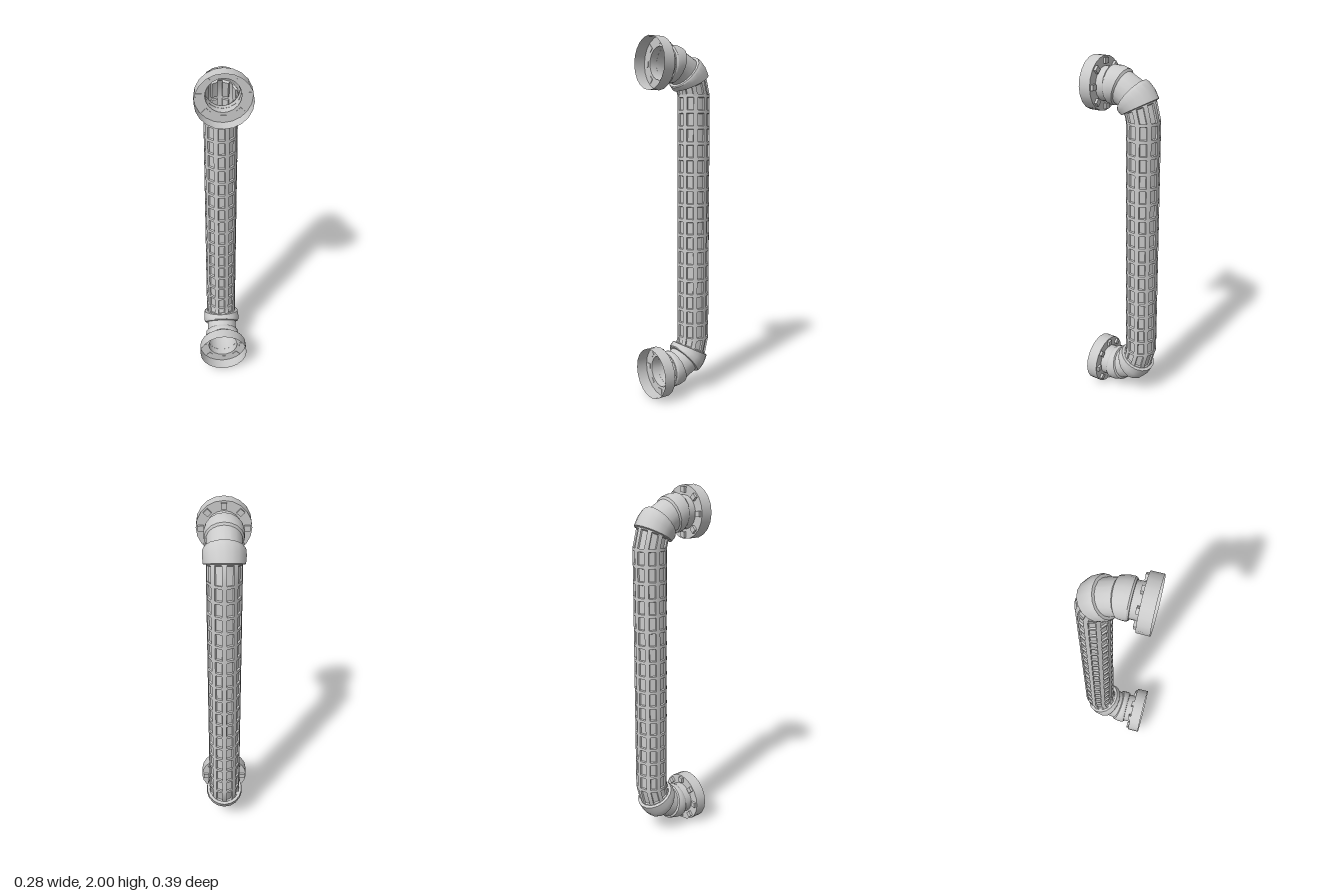
import * as THREE from 'three';
import { toCreasedNormals } from 'three/addons/utils/BufferGeometryUtils.js';

const mat = new THREE.MeshStandardMaterial({ color: 0xcccccc, side: THREE.DoubleSide });
const FLANGE_Y = 1.858;               // height of the upper flange axis
const BEND = 0.18;                    // centreline radius of the elbow
const BEND_Z = 0.075;                 // centre of the elbow arc
const BEND_Y = FLANGE_Y - BEND;
const PIPE_Z = BEND_Z - BEND;         // axis of the upright pipe
const rad = THREE.MathUtils.degToRad;

function addMesh(parent, geo, name) {
  const m = new THREE.Mesh(geo, mat);
  m.name = name;
  parent.add(m);
  return m;
}

// Stations along the centreline: angle t (degrees) gives the outward direction
const atBend = (t) => ({ y: BEND_Y + BEND * Math.cos(rad(t)), z: BEND_Z - BEND * Math.sin(rad(t)), t });
const atInlet = (z) => ({ y: FLANGE_Y, z, t: 0 });
const atUpright = (y) => ({ y, z: PIPE_Z, t: 90 });
const mirrored = (s) => ({ ...s, y: 2 - s.y, t: 180 - s.t });

// Skin a series of loops; angles lists the points round a loop, radius(i, k) their distance
function sweep(stations, angles, radius) {
  const pos = [], idx = [], n = angles.length;
  stations.forEach((s, i) => angles.forEach((a, k) => {
    const r = radius(i, k), c = r * Math.cos(a);
    pos.push(r * Math.sin(a), s.y + c * Math.cos(rad(s.t)), s.z - c * Math.sin(rad(s.t)));
  }));
  for (let i = 0; i < stations.length - 1; i++) {
    for (let k = 0; k < n; k++) {
      const a = i * n + k, b = i * n + (k + 1) % n;
      idx.push(a, b, a + n, b, b + n, a + n);
    }
  }
  const g = new THREE.BufferGeometry();
  g.setAttribute('position', new THREE.Float32BufferAttribute(pos, 3));
  g.setIndex(idx);
  return toCreasedNormals(g, 0.5);
}

const round = Array.from({ length: 18 }, (_, k) => (k / 18) * Math.PI * 2);
const roundTube = (list) => sweep(list.map((e) => e[0]), round, (i) => list[i][1]);

function makeEnd() {
  const end = new THREE.Group();

  // Flange: open cup with a ring floor and eight bolts
  const flange = new THREE.Group();
  flange.name = 'flange';
  flange.position.y = FLANGE_Y;
  end.add(flange);
  const wall = addMesh(flange, new THREE.CylinderGeometry(0.142, 0.142, 0.066, 20, 1, true), 'flangeRim');
  wall.rotation.x = Math.PI / 2;
  wall.position.z = 0.161;
  addMesh(flange, new THREE.RingGeometry(0.088, 0.142, 20), 'flangeFace').position.z = 0.128;
  for (let i = 0; i < 8; i++) {
    const a = (i * Math.PI) / 4;
    const bolt = addMesh(flange, new THREE.BoxGeometry(0.03, 0.029, 0.017), 'flangeBolt');
    bolt.position.set(0.117 * Math.cos(a), 0.117 * Math.sin(a), 0.1225);
    bolt.rotation.z = a;
  }

  // Curved elbow tube
  addMesh(end, roundTube([
    [atInlet(0.128), 0.09], [atBend(0), 0.09], [atBend(18), 0.09], [atBend(39), 0.09], [atBend(60), 0.088],
  ]), 'elbow');

  // Collars sleeved over the elbow
  addMesh(end, roundTube([
    [atInlet(0.084), 0.089], [atInlet(0.083), 0.097], [atInlet(0.074), 0.103],
    [atBend(8), 0.104], [atBend(17), 0.1], [atBend(19), 0.089],
  ]), 'innerCollar');
  addMesh(end, roundTube([
    [atBend(38), 0.089], [atBend(38.5), 0.104], [atBend(42), 0.109],
    [atBend(51), 0.11], [atBend(62), 0.106], [atBend(63), 0.085],
  ]), 'outerCollar');
  return end;
}

// Upright pipe: nine long ribs and evenly spaced rings around sunken panels
function makePipe() {
  const angles = [];
  for (let k = 0; k < 9; k++) {
    for (const d of [-9, -7.5, 7.5, 9]) angles.push(rad(k * 40 + d));
  }
  const stations = [], raised = [];
  const put = (s, up) => { stations.push(s); raised.push(up); };

  const bend = [[60, true], [64, true], [65, false], [86, false]];
  bend.forEach(([t, up]) => put(atBend(t), up));
  const rows = 16, top = BEND_Y + 0.012, step = (2 * top - 2) / rows;
  for (let i = 0; i <= rows; i++) {
    const y = top - i * step;
    if (i > 0) put(atUpright(y + 0.011), false);
    put(atUpright(y + 0.008), true);
    put(atUpright(y - 0.008), true);
    if (i < rows) put(atUpright(y - 0.011), false);
  }
  bend.slice().reverse().forEach(([t, up]) => put(mirrored(atBend(t)), up));

  return sweep(stations, angles, (i, k) => {
    const onRib = k % 4 === 1 || k % 4 === 2;
    return raised[i] || onRib ? 0.09 : 0.081;
  });
}

export function createModel() {
  const model = new THREE.Group();
  model.name = 'pipe';
  addMesh(model, makePipe(), 'ribbedPipe');

  const upper = makeEnd();
  upper.name = 'upperEnd';
  const lower = makeEnd();
  lower.name = 'lowerEnd';
  lower.rotation.z = Math.PI;
  lower.position.y = 2;
  model.add(upper, lower);
  return model;
}
